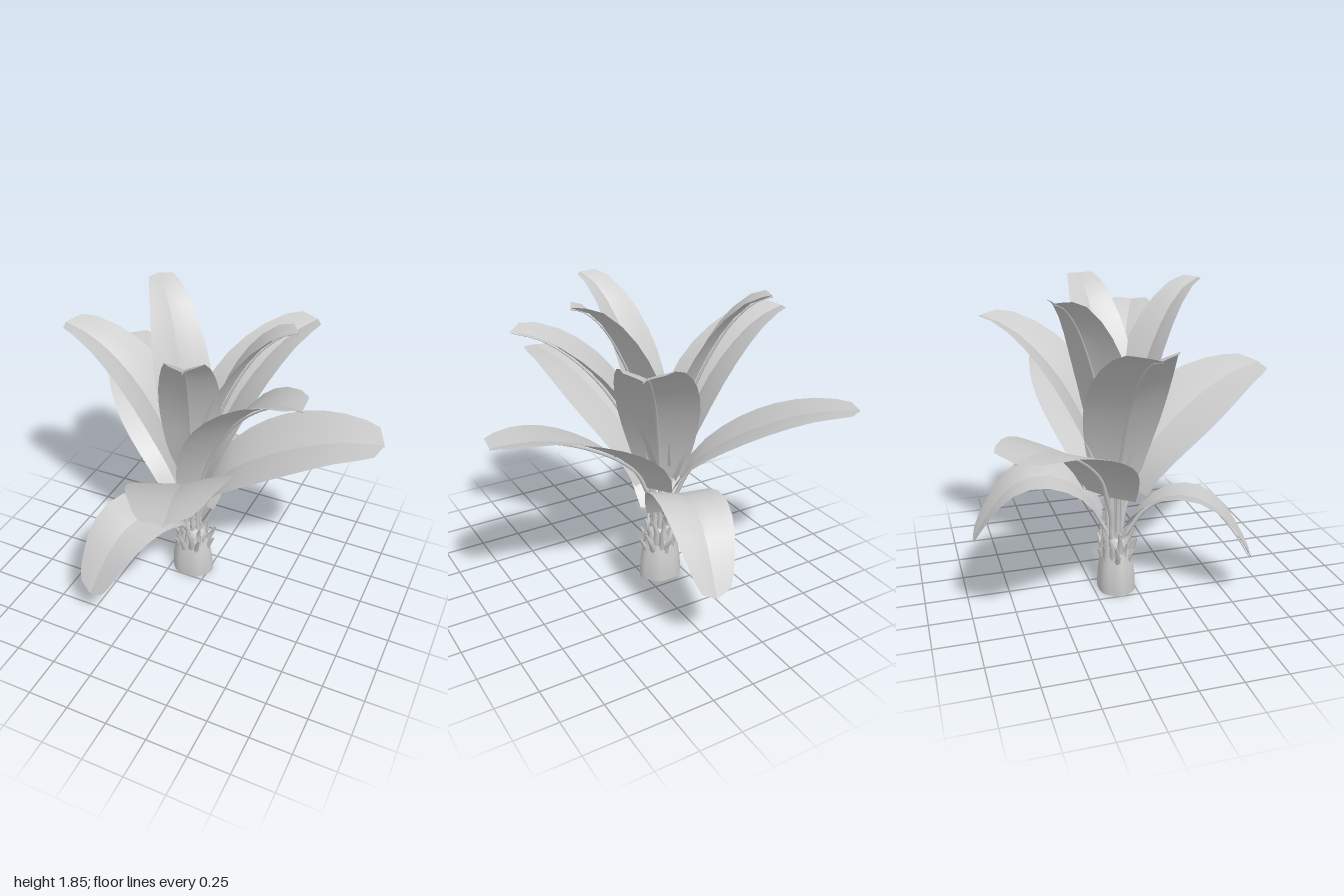
import * as THREE from 'three';

const CENTRE = new THREE.Vector3(-0.115, 0, -0.11);
const ROWS = 10;

// blade width along its length, as a fraction of the widest point
const widthAt = (t) => THREE.MathUtils.lerp(0.58, 0.43, t) + 0.49 * Math.pow(Math.sin(Math.PI * Math.pow(t, 0.96)), 1.05);

// each tier: midrib as [reach 0..1, height], half width,
// leaf tips as [x, z, lift, rise of one edge, rise of the other edge]
const TIERS = [
  {
    name: 'upperLeaf', half: 0.176,
    rib: [[0.07, 0.78], [0.17, 1.0], [0.28, 1.25], [0.46, 1.5], [0.66, 1.69], [0.86, 1.8], [1, 1.83]],
    tips: [[0.48, -0.18], [0.11, 0.46], [-0.53, -0.53, 0.01]],
  },
  {
    name: 'middleLeaf', half: 0.235,
    rib: [[0.07, 0.69], [0.135, 0.87], [0.25, 1.08], [0.4, 1.28], [0.59, 1.45], [0.8, 1.57], [1, 1.62]],
    tips: [[0.4, -0.78], [0.66, 0.22], [-0.94, -0.11]],
  },
  {
    name: 'lowerLeaf', half: 0.3,
    rib: [[0.09, 0.63], [0.15, 0.76], [0.26, 0.88], [0.42, 1.0], [0.6, 1.1], [0.79, 1.17], [1, 1.2]],
    tips: [[1.0, -0.27, 0, 0.28, 0.02], [0.23, 0.93, 0.06, 0.28, -0.05], [-0.96, -0.83, 0, 0, 0.17]],
  },
  {
    name: 'backDroopingLeaf', half: 0.2,
    rib: [[0.1, 0.47], [0.2, 0.62], [0.36, 0.72], [0.55, 0.75], [0.72, 0.69], [0.88, 0.53], [1, 0.36]],
    tips: [[0.035, -0.945, 0, 0, 0.2]],
  },
  {
    name: 'frontDroopingLeaf', half: 0.2,
    rib: [[0.1, 0.42], [0.2, 0.53], [0.36, 0.61], [0.55, 0.625], [0.72, 0.56], [0.88, 0.41], [1, 0.25]],
    tips: [[-0.45, 0.63, 0, 0, 0.28]],
  },
];

const leafMaterial = new THREE.MeshStandardMaterial({ color: 0xcccccc, side: THREE.DoubleSide });

// two half blades meeting at the midrib, with separate vertices so the crease stays sharp
function bladeGeometry(curve, heading, half, rises) {
  const side = new THREE.Vector3(heading.z, 0, -heading.x);
  const positions = [], index = [], COLS = 4;
  [1, -1].forEach((s, k) => {
    const start = positions.length / 3;
    for (let i = 0; i <= ROWS; i++) {
      const t = i / ROWS;
      const p = curve.getPointAt(t), tangent = curve.getTangentAt(t);
      const up = new THREE.Vector3().crossVectors(tangent, side).normalize();
      const w = half * widthAt(t);
      for (let j = 0; j <= COLS; j++) {
        const u = j / COLS;
        const pull = i === ROWS ? -0.04 * u : 0; // blunt pointed end
        const v = p.clone()
          .addScaledVector(side, s * w * u)
          .addScaledVector(up, w * rises[k] * Math.pow(u, 0.85))
          .addScaledVector(tangent, pull);
        positions.push(v.x, v.y, v.z);
      }
    }
    for (let i = 0; i < ROWS; i++) {
      for (let j = 0; j < COLS; j++) {
        const a = start + i * (COLS + 1) + j, b = a + 1, c = a + COLS + 1, d = c + 1;
        if (s > 0) index.push(a, c, b, b, c, d);
        else index.push(a, b, c, b, d, c);
      }
    }
  });
  const g = new THREE.BufferGeometry();
  g.setAttribute('position', new THREE.Float32BufferAttribute(positions, 3));
  g.setIndex(index);
  g.computeVertexNormals();
  return g;
}

// tube that narrows from its root to its end
function taperedTube(curve, r0, r1, segments, sides) {
  const g = new THREE.TubeGeometry(curve, segments, 1, sides);
  const pos = g.attributes.position, v = new THREE.Vector3();
  for (let i = 0; i < pos.count; i++) {
    const t = Math.floor(i / (sides + 1)) / segments;
    const c = curve.getPointAt(t);
    v.fromBufferAttribute(pos, i).sub(c).multiplyScalar(THREE.MathUtils.lerp(r0, r1, t)).add(c);
    pos.setXYZ(i, v.x, v.y, v.z);
  }
  return g;
}

function makeLeaf(tier, [x, z, lift = 0, riseA = 0.3, riseB = 0.3]) {
  const leaf = new THREE.Group();
  leaf.name = tier.name;
  const heading = new THREE.Vector3(x, 0, z).sub(CENTRE);
  const reach = heading.length();
  heading.normalize();
  const at = (r, y) => heading.clone().multiplyScalar(r).setY(y);
  const points = tier.rib.map(([r, y]) => at(r * reach, y + lift * r));
  const curve = new THREE.CatmullRomCurve3(points);
  const blade = new THREE.Mesh(bladeGeometry(curve, heading, tier.half, [riseA, riseB]), leafMaterial);
  blade.name = 'blade';

  // stalk rises from the trunk and runs on under the blade as its midrib
  const under = points.map((p, i) => {
    const t = curve.getTangent(i / (points.length - 1));
    const gap = 0.017 - 0.0017 * i;
    return p.clone().addScaledVector(heading, t.y * gap).add(new THREE.Vector3(0, -t.dot(heading) * gap, 0));
  });
  const stalkCurve = new THREE.CatmullRomCurve3([at(0.045, 0.22), at(0.05, points[0].y * 0.5 + 0.12), ...under]);
  const stalk = new THREE.Mesh(taperedTube(stalkCurve, 0.016, 0.003, 40, 6), leafMaterial);
  stalk.name = 'stalk';
  leaf.add(blade, stalk);
  return leaf;
}

// short, slightly lobed trunk, hollow and open below
function makeTrunk() {
  const profile = [[0.112, 0], [0.112, 0.04], [0.109, 0.1], [0.1, 0.17], [0.088, 0.23], [0.076, 0.29], [0.066, 0.34], [0.04, 0.35], [0.001, 0.33]];
  const g = new THREE.LatheGeometry(profile.map(([r, y]) => new THREE.Vector2(r, y)), 36);
  const pos = g.attributes.position;
  for (let i = 0; i < pos.count; i++) {
    const x = pos.getX(i), z = pos.getZ(i);
    const k = 1 + 0.025 * Math.cos(6 * Math.atan2(z, x));
    pos.setXYZ(i, x * k * 1.2, pos.getY(i), z * k);
  }
  g.computeVertexNormals();
  const trunk = new THREE.Mesh(g, leafMaterial);
  trunk.name = 'trunk';
  return trunk;
}

// cut-off old stalks around the top of the trunk
function makeStubs() {
  const stubs = new THREE.Group();
  stubs.name = 'stubs';
  for (let i = 0; i < 24; i++) {
    const a = i * 2.4, wobble = Math.sin(i * 5.3);
    const y = 0.2 + 0.0055 * i, out = 0.134 - 0.0027 * i + 0.014 * wobble;
    const point = (r, h, turn = 0) => new THREE.Vector3(Math.cos(a + turn) * r * 1.1, h, Math.sin(a + turn) * r);
    const curve = new THREE.CatmullRomCurve3([
      point(0.07, y - 0.05), point(out * 0.8, y + 0.03), point(out, y + 0.085 + 0.02 * wobble, 0.15 * wobble),
    ]);
    const stub = new THREE.Mesh(taperedTube(curve, 0.026, 0.007, 4, 6), leafMaterial);
    stub.name = 'stub';
    stubs.add(stub);
  }
  return stubs;
}

export function createModel() {
  const plant = new THREE.Group();
  plant.name = 'plant';
  plant.position.copy(CENTRE);
  plant.add(makeTrunk(), makeStubs());
  for (const tier of TIERS) for (const tip of tier.tips) plant.add(makeLeaf(tier, tip));
  const model = new THREE.Group();
  model.name = 'leafyPlant';
  model.add(plant);
  return model;
}
